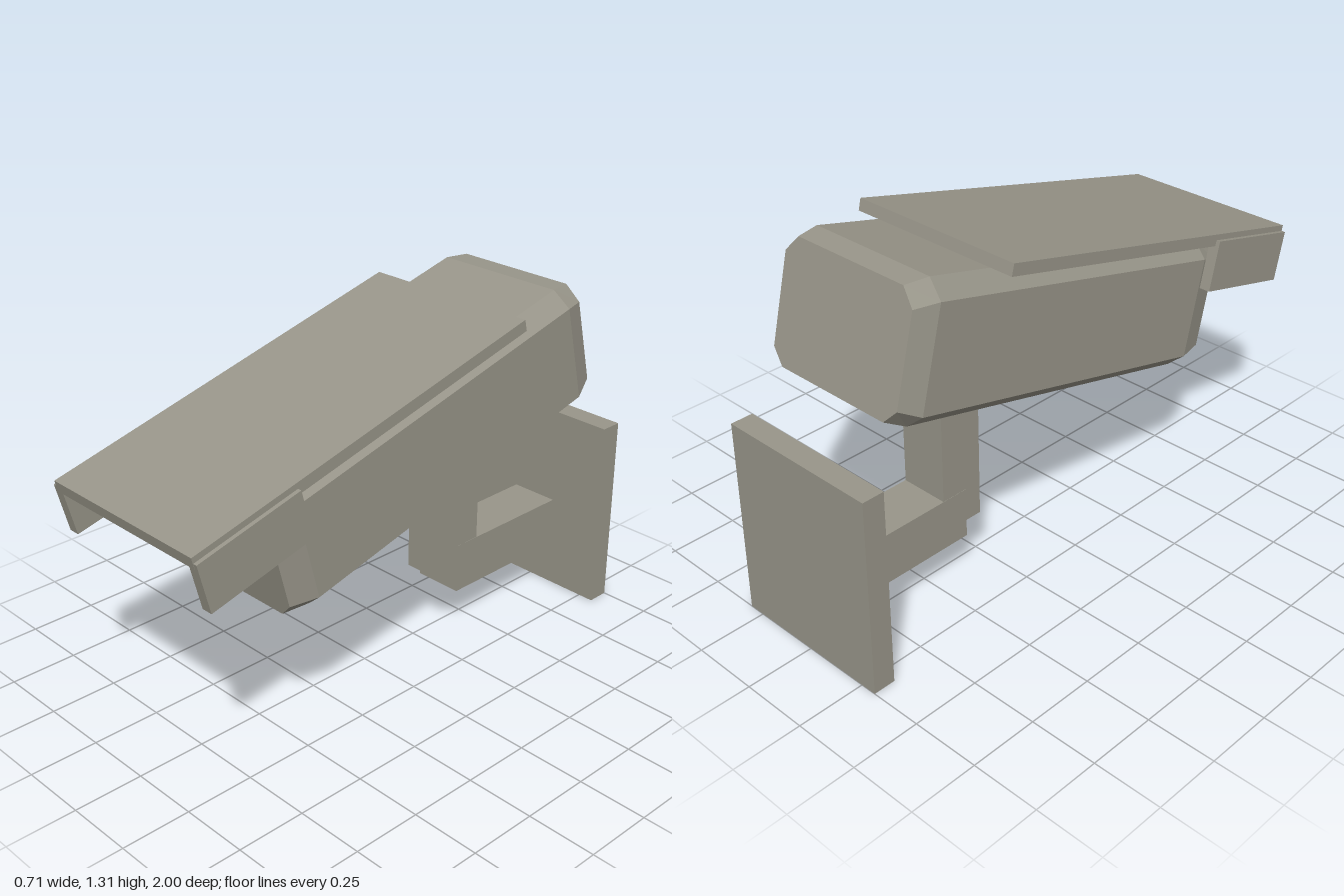
import * as THREE from 'three';

const TILT = THREE.MathUtils.degToRad(14);

export function createModel() {
  const model = new THREE.Group();
  model.name = 'securityCamera';
  const paint = new THREE.MeshStandardMaterial({ color: 0x99968a, flatShading: true });
  paint.name = 'warmGrey';

  // Box given by its minimum and maximum on each axis
  function block(parent, name, [x0, x1], [y0, y1], [z0, z1]) {
    const mesh = new THREE.Mesh(new THREE.BoxGeometry(x1 - x0, y1 - y0, z1 - z0), paint);
    mesh.position.set((x0 + x1) / 2, (y0 + y1) / 2, (z0 + z1) / 2);
    mesh.name = name;
    parent.add(mesh);
  }

  // Wall bracket
  const bracket = new THREE.Group();
  bracket.name = 'wallBracket';
  block(bracket, 'wallPlate', [-0.31, 0.31], [0, 0.725], [-1, -0.918]);
  block(bracket, 'bracketArm', [-0.093, 0.093], [0.168, 0.357], [-0.92, -0.38]);
  block(bracket, 'bracketPost', [-0.092, 0.092], [0.23, 0.725], [-0.482, -0.315]);
  model.add(bracket);

  // Tilted camera head: local z runs along the barrel
  const head = new THREE.Group();
  head.name = 'cameraHead';
  head.rotation.x = TILT;
  model.add(head);

  const housing = new THREE.Mesh(housingGeometry(), paint);
  housing.name = 'housing';
  head.add(housing);

  // Sun visor with a side flap on each side
  block(head, 'visorTop', [-0.341, 0.341], [1.112, 1.154], [-0.7, 0.743]);
  block(head, 'leftFlap', [0.315, 0.356], [0.951, 1.133], [0.334, 0.742]);
  block(head, 'rightFlap', [-0.356, -0.315], [0.951, 1.133], [0.334, 0.742]);
  return model;
}

// Octagonal barrel whose two ends taper in
function housingGeometry() {
  // z, half width, half width of flat, bottom, top
  const stations = [
    [-1.033, 0.283, 0.233, 0.664, 1.088],
    [-0.95, 0.31, 0.25, 0.642, 1.111],
    [0.335, 0.31, 0.25, 0.642, 1.111],
    [0.435, 0.285, 0.235, 0.662, 1.09],
  ];
  const positions = [];
  const index = [];
  for (const [z, w, f, b, t] of stations) {
    const lo = b + 0.052, hi = t - 0.058;
    const loop = [[-f, b], [f, b], [w, lo], [w, hi], [f, t], [-f, t], [-w, hi], [-w, lo]];
    for (const [x, y] of loop) positions.push(x, y, z);
  }
  const last = (stations.length - 1) * 8;
  for (let s = 0; s < last; s += 8) {
    for (let i = 0; i < 8; i++) {
      const a = s + i, b = s + (i + 1) % 8;
      index.push(a, b, b + 8, a, b + 8, a + 8);
    }
  }
  // End faces
  for (let i = 1; i < 7; i++) {
    index.push(0, i + 1, i, last, last + i, last + i + 1);
  }
  const shared = new THREE.BufferGeometry();
  shared.setAttribute('position', new THREE.Float32BufferAttribute(positions, 3));
  shared.setIndex(index);
  const geometry = shared.toNonIndexed();
  geometry.computeVertexNormals();
  return geometry;
}
